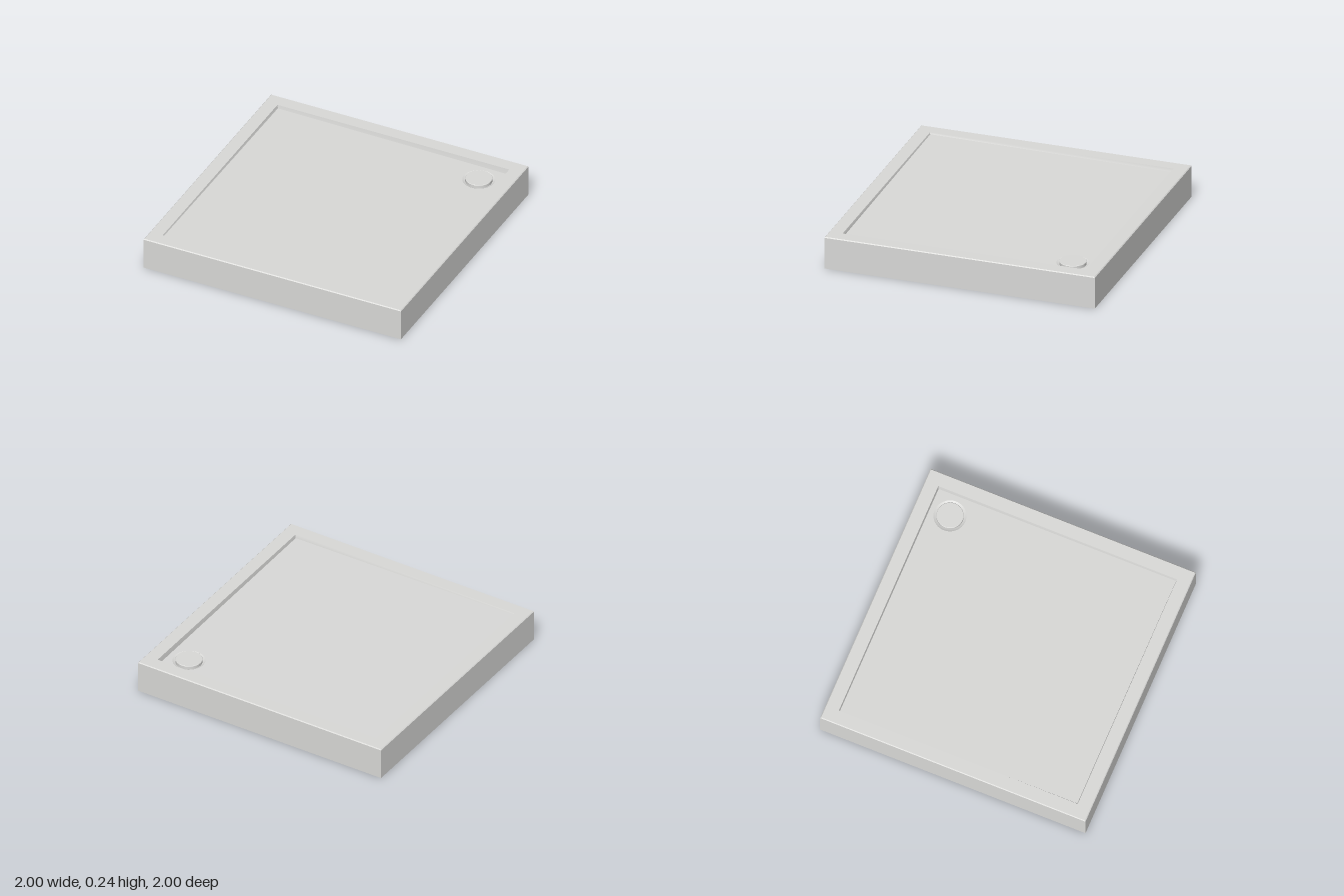
import * as THREE from 'three';
import { toCreasedNormals } from 'three/addons/utils/BufferGeometryUtils.js';

const grey = new THREE.MeshStandardMaterial({ color: 0xdadad8 });
grey.name = 'trayGrey';
const cream = new THREE.MeshStandardMaterial({ color: 0xdcd4b8 });
cream.name = 'undersideCream';

const HEIGHT = 0.24, CEILING = 0.12, FLOOR = 0.895;
const DRAIN = { x: 0.74, z: -0.745 };

// Height of the floor, which falls towards the drain corner
const floorY = (x, z) => 0.215 - 0.0083 * (x - z);

const lathe = (points, segments) =>
  new THREE.LatheGeometry(points.map(([r, y]) => new THREE.Vector2(r, y)), segments);

// Sweep a profile of (half width, y) around a square
function squareSweep(points) {
  const g = lathe(points.map(([r, y]) => [r * Math.SQRT2, y]), 4);
  return g.rotateY(Math.PI / 4);
}

// Move vertices by a rule y = f(x, y, z)
function moveY(g, f) {
  const p = g.attributes.position;
  for (let i = 0; i < p.count; i++) p.setY(i, f(p.getX(i), p.getY(i), p.getZ(i)));
  return g;
}

export function createModel() {
  const group = new THREE.Group();
  group.name = 'showerTray';
  const add = (name, geometry, material) => {
    const mesh = new THREE.Mesh(toCreasedNormals(geometry, 0.5), material);
    mesh.name = name;
    group.add(mesh);
    return mesh;
  };

  // Outer walls, flat rim and the low step down to the floor
  const rim = squareSweep([[0.97, 0], [1, 0], [1, HEIGHT - 0.006],
    [0.994, HEIGHT], [0.9, HEIGHT], [FLOOR, 0]]);
  moveY(rim, (x, y, z) =>
    Math.abs(Math.abs(x) - FLOOR) < 0.001 ? floorY(x, z) : y);
  add('rim', rim, grey);

  // Sloping floor with a round opening for the drain
  const floorShape = new THREE.Shape([[-1, -1], [1, -1], [1, 1], [-1, 1]]
    .map(([x, y]) => new THREE.Vector2(x * FLOOR, y * FLOOR)));
  floorShape.holes.push(new THREE.Path().absarc(DRAIN.x, -DRAIN.z, 0.115, 0, Math.PI * 2, true));
  const floor = new THREE.ShapeGeometry(floorShape, 32).rotateX(-Math.PI / 2);
  add('floor', moveY(floor, (x, y, z) => floorY(x, z)), grey);

  // Shallow dish and cover of the drain
  const dish = lathe([[0.115, 0], [0.095, -0.01], [0, -0.01]], 64)
    .translate(DRAIN.x, 0, DRAIN.z);
  add('drainDish', moveY(dish, (x, y, z) => y + floorY(x, z)), grey);
  const cover = lathe([[0.095, -0.01], [0.095, 0.012], [0.092, 0.015], [0, 0.015]], 64);
  add('drainCover', cover, grey).position.set(DRAIN.x, floorY(DRAIN.x, DRAIN.z), DRAIN.z);

  // Cream inside of the walls and underside of the shell
  add('underside', squareSweep([[0, CEILING], [0.97, CEILING], [0.97, 0]]), cream);
  const outlet = new THREE.CylinderGeometry(0.1, 0.1, 0.004, 48);
  add('drainOutlet', outlet, cream).position.set(DRAIN.x, CEILING - 0.002, DRAIN.z);

  // Support block below, cut away in an arc around the drain
  const b = 0.88, r = 0.284, c = 0.74;
  const reach = Math.sqrt(r * r - (b - c) ** 2);
  const block = new THREE.Shape();
  block.moveTo(-b, -b);
  block.lineTo(b, -b);
  block.lineTo(b, c - reach);
  block.absarc(c, c, r, Math.atan2(-reach, b - c), Math.atan2(b - c, -reach), true);
  block.lineTo(-b, b);
  block.closePath();
  const support = new THREE.ExtrudeGeometry(block,
    { depth: CEILING, bevelEnabled: false, curveSegments: 40 });
  add('supportBlock', support.rotateX(-Math.PI / 2), grey);

  return group;
}
